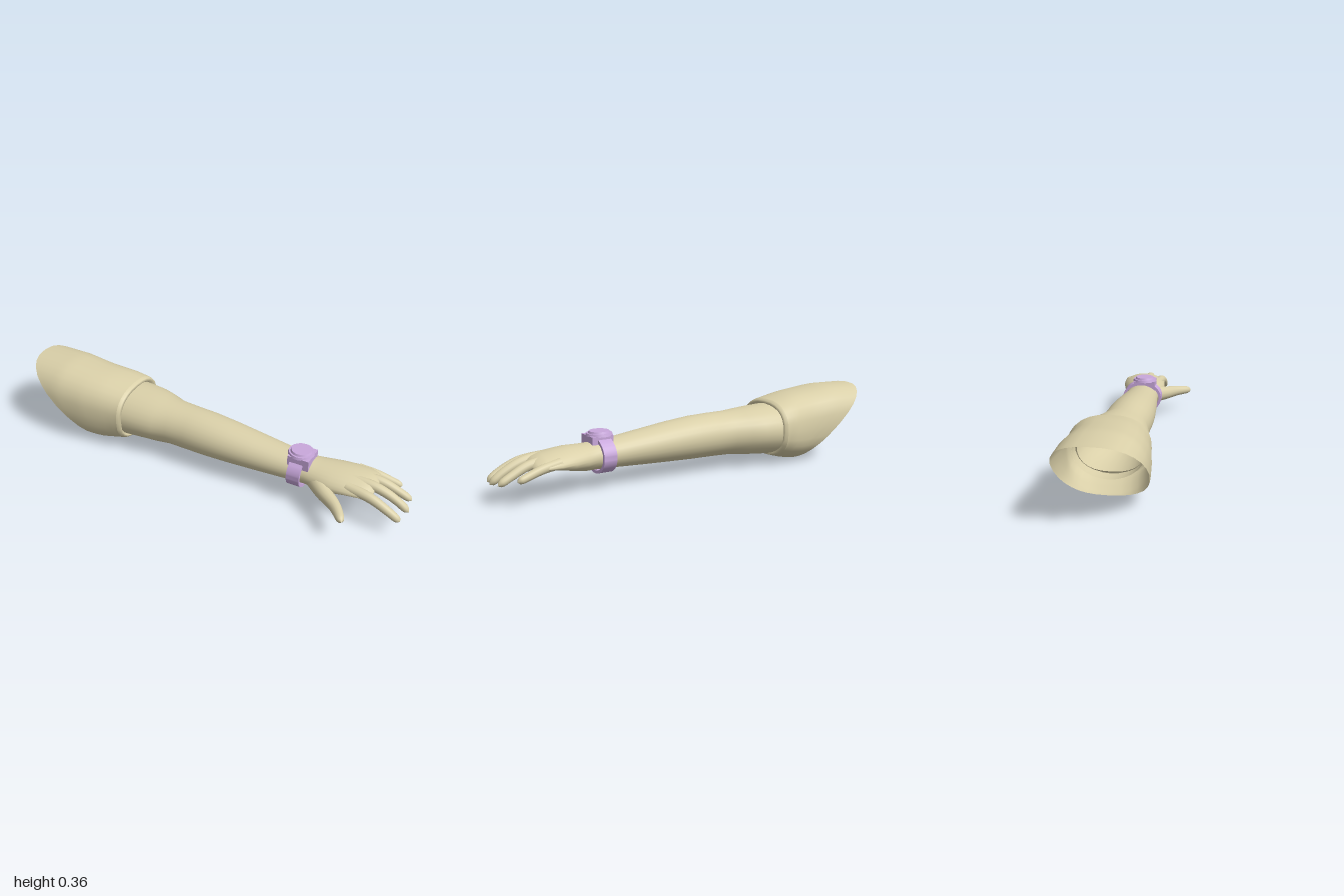
import * as THREE from 'three';
import { mergeVertices, toCreasedNormals } from 'three/addons/utils/BufferGeometryUtils.js';

const SIDES = 28;

// Point on a cross-section [x, top, bottom, zMin, zMax, bend]; bend droops the sides
function sectionPoint([x, top, bottom, z0, z1, bend = 0], angle, power = 1) {
  const soft = (v) => Math.sign(v) * Math.abs(v) ** power;
  const c = soft(Math.cos(angle)), s = soft(Math.sin(angle));
  return [x, (top + bottom) / 2 + (top - bottom) / 2 * s - bend * c * c, (z0 + z1) / 2 + (z1 - z0) / 2 * c];
}

// Skin a grid of rings running along +x
function skin(rings, pointAt) {
  const pos = [], index = [];
  for (let i = 0; i < rings; i++) {
    for (let j = 0; j < SIDES; j++) {
      pos.push(...pointAt(i, j / SIDES * Math.PI * 2));
      if (i === rings - 1) continue;
      const k = (j + 1) % SIDES;
      const a = i * SIDES + j, b = i * SIDES + k;
      index.push(a, a + SIDES, b + SIDES, a, b + SIDES, b);
    }
  }
  const g = new THREE.BufferGeometry();
  g.setAttribute('position', new THREE.Float32BufferAttribute(pos, 3));
  g.setIndex(index);
  g.computeVertexNormals();
  return g;
}

// Linear blend between cross-sections at a given x
function sectionAt(list, x) {
  let i = 0;
  while (i < list.length - 2 && x > list[i + 1][0]) i++;
  const t = THREE.MathUtils.clamp((x - list[i][0]) / (list[i + 1][0] - list[i][0]), 0, 1);
  return list[i].map((v, n) => (n === 0 ? x : v + (list[i + 1][n] - v) * t));
}

// Tapered finger with a rounded tip
function finger(points, r0, r1) {
  const curve = new THREE.CatmullRomCurve3(points.map((p) => new THREE.Vector3(...p)));
  const n = 24, sides = 14;
  const g = new THREE.TubeGeometry(curve, n, 1, sides);
  const p = g.attributes.position, v = new THREE.Vector3();
  for (let i = 0; i <= n; i++) {
    const t = i / n, c = curve.getPointAt(t);
    const tip = Math.max(0, (t - 0.88) / 0.12);
    const r = (r0 + (r1 - r0) * t) * Math.sqrt(Math.max(0.0004, 1 - tip * tip));
    for (let j = 0; j <= sides; j++) {
      const k = i * (sides + 1) + j;
      v.fromBufferAttribute(p, k).sub(c).multiplyScalar(r).add(c);
      p.setXYZ(k, v.x, v.y, v.z);
    }
  }
  g.deleteAttribute('normal');
  g.deleteAttribute('uv');
  const merged = mergeVertices(g, 1e-5);
  merged.computeVertexNormals();
  return merged;
}

export function createModel() {
  const group = new THREE.Group();
  const tan = new THREE.MeshStandardMaterial({ color: 0xd9cfa8, side: THREE.DoubleSide });
  tan.name = 'tan';
  const lilac = new THREE.MeshStandardMaterial({ color: 0xc9a8dc });
  lilac.name = 'lilac';
  const add = (name, geometry, material, x = 0, y = 0, z = 0) => {
    const mesh = new THREE.Mesh(geometry, material);
    mesh.name = name;
    mesh.position.set(x, y, z);
    group.add(mesh);
    return mesh;
  };

  // Sleeve, cut off on a slant at the shoulder
  const sleeve = [
    [-1, 0.362, 0.004, -0.224, 0.15],
    [-0.8, 0.365, 0.003, -0.222, 0.163],
    [-0.65, 0.35, 0.003, -0.213, 0.155],
    [-0.57, 0.342, 0.005, -0.218, 0.145],
    [-0.5, 0.33, 0.02, -0.228, 0.136],
    [-0.45, 0.32, 0.034, -0.224, 0.132],
  ];
  const steps = 16;
  add('sleeve', skin(steps + 1, (i, a) => {
    let xCut = -0.8;
    for (let k = 0; k < 12; k++) {
      const y = sectionPoint(sectionAt(sleeve, xCut), a, 0.82)[1];
      xCut = -1 + (0.362 - y) * 1.17;
    }
    return sectionPoint(sectionAt(sleeve, xCut + (-0.45 - xCut) * i / steps), a, 0.82);
  }), tan);

  // Hem rolled inwards to the arm
  const hem = [
    [-0.45, 0.32, 0.034, -0.224, 0.132],
    [-0.435, 0.313, 0.04, -0.22, 0.128],
    [-0.43, 0.303, 0.05, -0.21, 0.118],
    [-0.445, 0.29, 0.06, -0.198, 0.105],
  ];
  add('sleeveHem', skin(hem.length, (i, a) => sectionPoint(hem[i], a, 0.82)), tan);

  // Forearm running on into the palm
  const arm = [
    [-0.5, 0.302, 0.044, -0.21, 0.112, 0],
    [-0.42, 0.298, 0.046, -0.208, 0.112, 0],
    [-0.34, 0.294, 0.053, -0.198, 0.108, 0],
    [-0.27, 0.288, 0.058, -0.177, 0.1, 0],
    [-0.2, 0.281, 0.065, -0.148, 0.086, 0],
    [-0.1, 0.279, 0.067, -0.14, 0.088, 0],
    [0, 0.275, 0.068, -0.138, 0.09, 0],
    [0.12, 0.263, 0.072, -0.131, 0.086, 0],
    [0.25, 0.246, 0.077, -0.122, 0.077, 0],
    [0.4, 0.226, 0.084, -0.11, 0.065, 0],
    [0.52, 0.215, 0.089, -0.105, 0.056, 0],
    [0.58, 0.213, 0.092, -0.124, 0.068, 0.002],
    [0.65, 0.215, 0.108, -0.143, 0.078, 0.01],
    [0.72, 0.211, 0.132, -0.157, 0.072, 0.018],
    [0.78, 0.204, 0.148, -0.16, 0.066, 0.022],
    [0.82, 0.193, 0.152, -0.15, 0.058, 0.02],
    [0.84, 0.178, 0.16, -0.11, 0.03, 0.012],
    [0.843, 0.17, 0.168, -0.06, -0.03, 0],
  ];
  add('armAndPalm', skin(arm.length, (i, a) => sectionPoint(arm[i], a)), tan);

  // Fingers and thumb
  const digits = {
    indexFinger: [[[0.72, 0.168, 0.032], [0.84, 0.156, 0.044], [0.93, 0.118, 0.049], [0.985, 0.083, 0.046]], 0.027, 0.018],
    middleFinger: [[[0.72, 0.182, -0.018], [0.85, 0.17, -0.022], [0.94, 0.132, -0.026], [1, 0.09, -0.027]], 0.027, 0.018],
    ringFinger: [[[0.72, 0.178, -0.07], [0.85, 0.163, -0.084], [0.93, 0.13, -0.094], [0.99, 0.1, -0.1]], 0.026, 0.017],
    littleFinger: [[[0.72, 0.166, -0.125], [0.81, 0.153, -0.14], [0.88, 0.133, -0.15], [0.925, 0.119, -0.156]], 0.024, 0.016],
    thumb: [[[0.56, 0.14, 0.01], [0.63, 0.132, 0.075], [0.71, 0.125, 0.135], [0.775, 0.12, 0.216]], 0.046, 0.018],
  };
  for (const [name, args] of Object.entries(digits)) add(name, finger(...args), tan);

  // Watch strap around the wrist
  const ring = new THREE.Shape().absellipse(0, 0, 0.102, 0.083, 0, Math.PI * 2);
  ring.holes.push(new THREE.Path().absellipse(0, 0, 0.088, 0.069, 0, Math.PI * 2));
  const strap = new THREE.ExtrudeGeometry(ring, { depth: 0.064, bevelEnabled: false, curveSegments: 32 });
  strap.rotateY(Math.PI / 2);
  add('watchStrap', toCreasedNormals(strap, 0.6), lilac, 0.446, 0.152, -0.023);

  // Watch case, bezel and raised dial
  add('watchCase', new THREE.BoxGeometry(0.104, 0.055, 0.11), lilac, 0.486, 0.2155, -0.01);
  add('watchBezel', new THREE.CylinderGeometry(0.058, 0.062, 0.012, 32), lilac, 0.478, 0.245, -0.012);
  add('watchDial', new THREE.CylinderGeometry(0.046, 0.05, 0.009, 32), lilac, 0.478, 0.2555, -0.012);

  return group;
}
